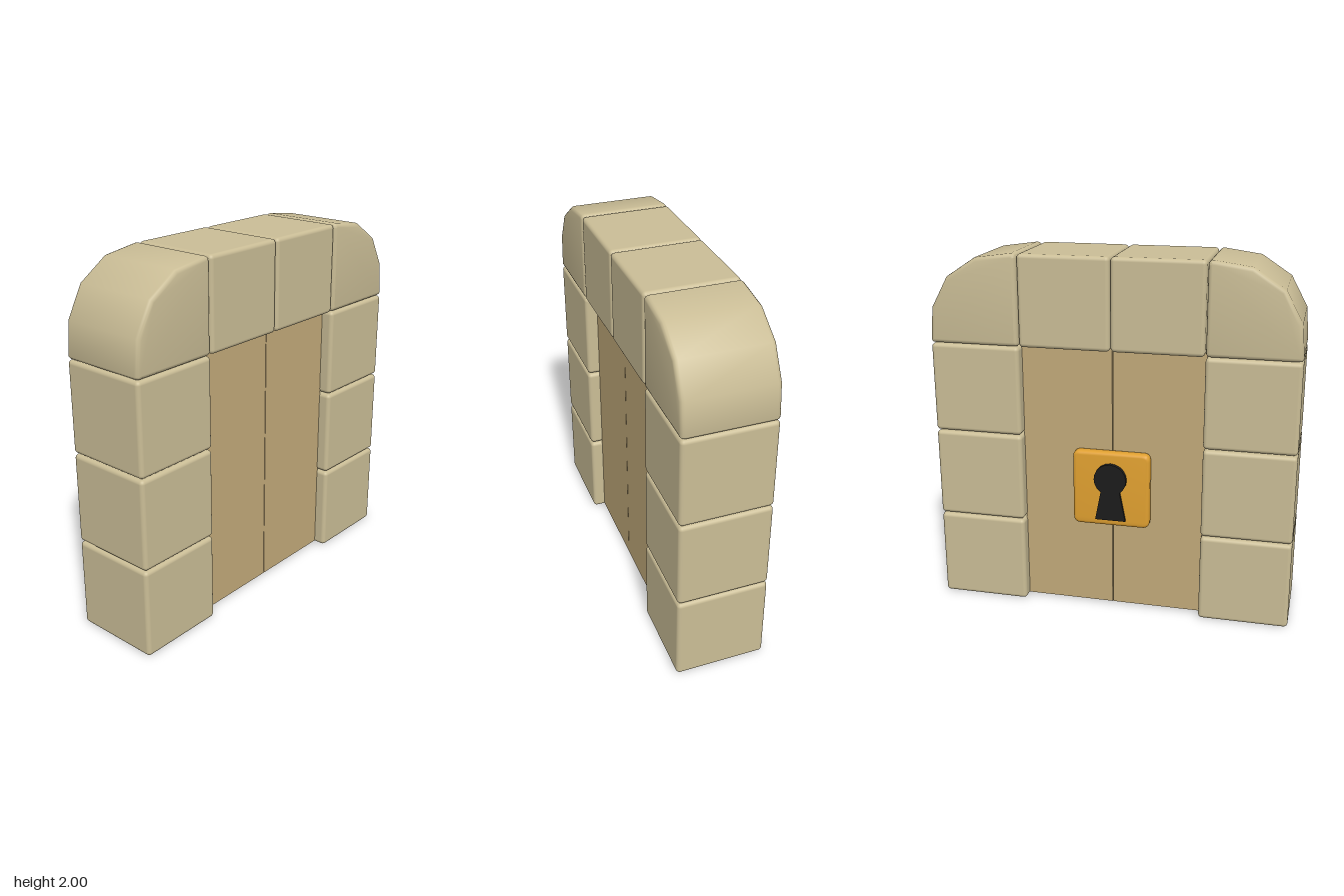
import * as THREE from 'three';
import { RoundedBoxGeometry } from 'three/addons/geometries/RoundedBoxGeometry.js';
import { toCreasedNormals } from 'three/addons/utils/BufferGeometryUtils.js';

const stone = new THREE.MeshStandardMaterial({ color: 0xcabd96 });
const wood = new THREE.MeshStandardMaterial({ color: 0xc2aa7a });
const gold = new THREE.MeshStandardMaterial({ color: 0xe0a030 });
const black = new THREE.MeshStandardMaterial({ color: 0x1c1c1c });

function add(parent, name, geometry, material, x = 0, y = 0, z = 0) {
  const mesh = new THREE.Mesh(geometry, material);
  mesh.name = name;
  mesh.position.set(x, y, z);
  parent.add(mesh);
  return mesh;
}

// Extrude a (z, y) outline from x = from outwards to x = to (to < from), with rounded rims
function slab(shape, from, to, bevel, crease = 0.75) {
  const geo = new THREE.ExtrudeGeometry(shape, {
    depth: from - to - 2 * bevel, curveSegments: 6,
    bevelEnabled: bevel > 0, bevelThickness: bevel, bevelSize: bevel, bevelOffset: -bevel, bevelSegments: 3,
  });
  geo.translate(0, 0, bevel - from).rotateY(-Math.PI / 2);
  return toCreasedNormals(geo, crease);
}

// Faceted outer curve with three softened corners
function cornerShape() {
  const s = new THREE.Shape();
  s.moveTo(0.525, 1.505);
  s.lineTo(0.975, 1.505);
  s.quadraticCurveTo(0.998, 1.505, 0.998, 1.53);
  s.lineTo(0.983, 1.70);
  s.lineTo(0.893, 1.865);
  s.lineTo(0.73, 1.972);
  s.lineTo(0.53, 2.0);
  s.quadraticCurveTo(0.503, 2.0, 0.503, 1.975);
  s.lineTo(0.503, 1.53);
  s.quadraticCurveTo(0.503, 1.505, 0.525, 1.505);
  return s;
}

function plateShape(h, r) {
  const s = new THREE.Shape();
  s.moveTo(-h + r, -h);
  s.lineTo(h - r, -h);
  s.quadraticCurveTo(h, -h, h, -h + r);
  s.lineTo(h, h - r);
  s.quadraticCurveTo(h, h, h - r, h);
  s.lineTo(-h + r, h);
  s.quadraticCurveTo(-h, h, -h, h - r);
  s.lineTo(-h, -h + r);
  s.quadraticCurveTo(-h, -h, -h + r, -h);
  return s;
}

export function createModel() {
  const model = new THREE.Group();
  model.name = 'stoneGateway';

  const block = new RoundedBoxGeometry(0.496, 0.496, 0.496, 3, 0.022);
  const corner = slab(cornerShape(), 0.248, -0.248, 0.022);
  const leaf = new THREE.BoxGeometry(0.36, 1.55, 0.503);

  for (const side of [1, -1]) {
    const half = new THREE.Group();
    half.name = side > 0 ? 'frontHalf' : 'backHalf';

    // Column, lintel and curved corner stones
    for (let i = 0; i < 3; i++) add(half, 'columnBlock', block, stone, 0, 0.25 + 0.502 * i, side * 0.75);
    add(half, 'lintelBlock', block, stone, 0, 1.752, side * 0.25);
    add(half, 'cornerStone', corner, stone).rotation.y = side > 0 ? 0 : Math.PI;

    // Recessed door leaf
    add(half, 'doorLeaf', leaf, wood, 0, 0.787, side * 0.2535);
    model.add(half);
  }

  // Lock on the left-hand face of the doors
  const lock = new THREE.Group();
  lock.name = 'lock';
  lock.position.y = 0.725;
  add(lock, 'lockPlate', slab(plateShape(0.215, 0.04), -0.17, -0.232, 0.018), gold);

  const disc = new THREE.CylinderGeometry(0.09, 0.09, 0.06, 20).rotateZ(Math.PI / 2);
  add(lock, 'keyholeTop', disc, black, -0.225, 0.065, 0);
  const stem = new THREE.Shape([[-0.085, -0.175], [0.085, -0.175], [0.045, 0.03], [-0.045, 0.03]]
    .map(([z, y]) => new THREE.Vector2(z, y)));
  add(lock, 'keyholeStem', slab(stem, -0.2, -0.249, 0), black);
  model.add(lock);

  return model;
}
